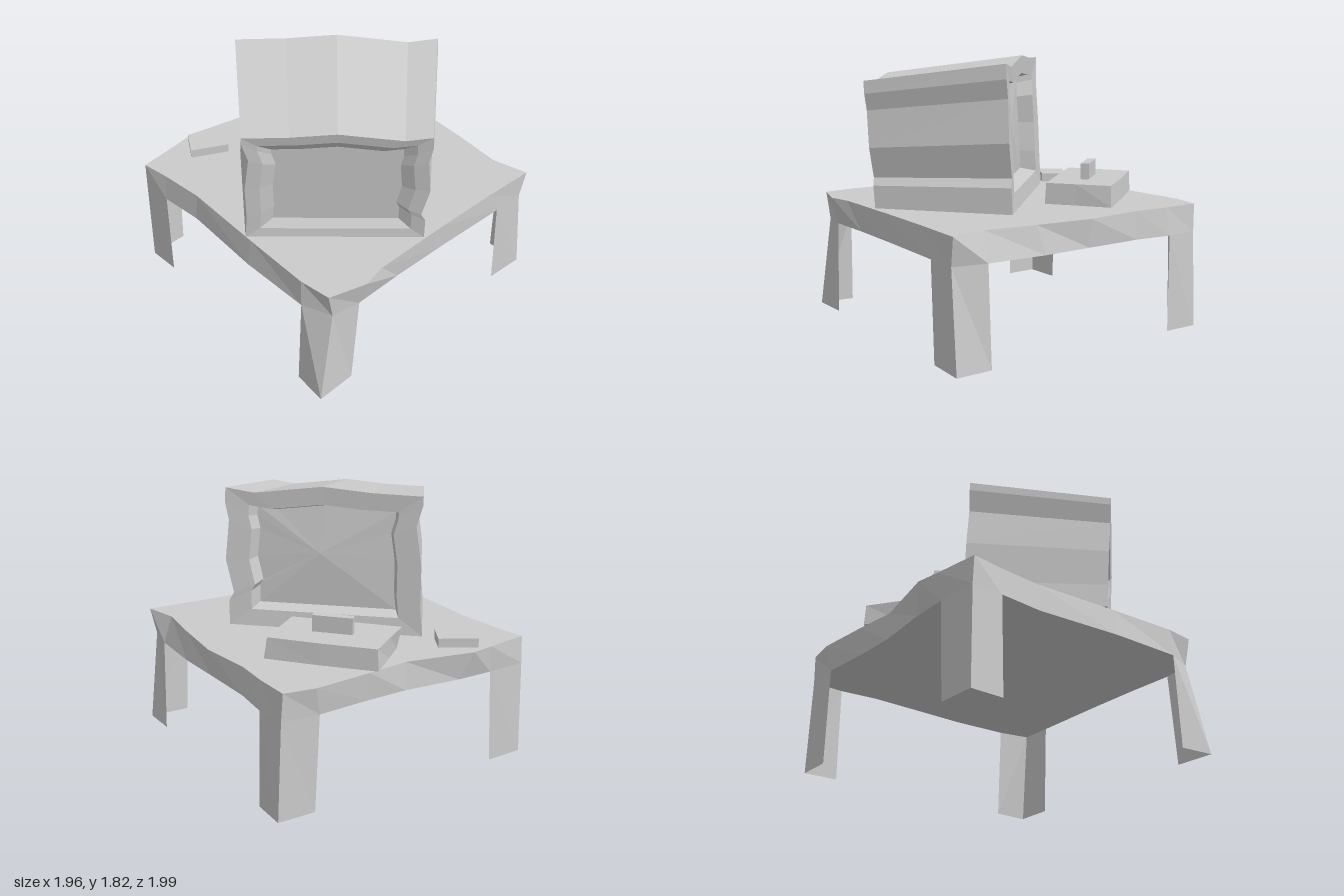
import * as THREE from 'three';

const material = new THREE.MeshStandardMaterial({ color: 0xcccccc, flatShading: true, side: THREE.DoubleSide });

function makeMesh(name, triangles) {
  const geometry = new THREE.BufferGeometry().setFromPoints(triangles);
  geometry.computeVertexNormals();
  const mesh = new THREE.Mesh(geometry, material);
  mesh.name = name;
  return mesh;
}

// Quads between consecutive rings of points
function loft(rings, closed = true) {
  const out = [];
  for (let r = 0; r + 1 < rings.length; r++) {
    const a = rings[r], b = rings[r + 1], n = a.length;
    for (let i = 0; i < (closed ? n : n - 1); i++) {
      const j = (i + 1) % n;
      out.push(a[i], b[i], b[j], a[i], b[j], a[j]);
    }
  }
  return out;
}

// Fan from a centre point
function cap(ring, centre, flip = false) {
  const out = [];
  ring.forEach((p, i) => {
    const q = ring[(i + 1) % ring.length];
    out.push(centre, flip ? q : p, flip ? p : q);
  });
  return out;
}

function centroid(ring) {
  return ring.reduce((sum, p) => sum.add(p), new THREE.Vector3()).divideScalar(ring.length);
}

const level = (points, y) => points.map(([x, z]) => new THREE.Vector3(x, y, z));

// Slab from bottom and top outlines
function slab(name, bottom, top, y0, y1) {
  const low = level(bottom, y0), high = level(top, y1);
  return makeMesh(name, [...loft([high, low]), ...cap(high, centroid(high)), ...cap(low, centroid(low), true)]);
}

// Uneven tabletop with four open, L-shaped corner legs
function createTable() {
  const table = new THREE.Group();
  table.name = 'table';
  // top x, top z, lower x, lower z
  const outline = [
    [-0.92, 0.7, -0.93, 0.71], [-0.89, 0.92, -0.85, 0.91], [-0.64, 0.99, -0.65, 0.94],
    [-0.47, 0.95, -0.3, 0.93], [0.1, 0.94, 0.1, 0.93],
    [0.55, 0.94, 0.67, 0.94], [0.95, 0.95, 0.91, 0.94], [0.89, 0.7, 0.95, 0.71],
    [0.93, 0.35, 0.96, 0.3], [0.96, -0.05, 0.94, -0.05], [0.91, -0.45, 0.92, -0.45],
    [0.92, -0.7, 0.94, -0.72], [0.91, -0.96, 0.92, -0.95], [0.7, -0.99, 0.66, -0.96],
    [0.3, -0.95, 0.3, -0.93], [0, -0.91, 0, -0.92], [-0.48, -1, -0.4, -0.95],
    [-0.64, -0.97, -0.66, -0.95], [-0.95, -0.92, -0.95, -0.93], [-0.92, -0.72, -0.94, -0.71],
    [-0.89, -0.4, -0.91, -0.4], [-0.91, 0.2, -0.94, 0.2],
  ];
  const lower = outline.map((p) => [p[2], p[3]]);
  table.add(slab('tabletop', lower, outline, 0.65, 0.838));

  const legs = [
    ['frontRightLeg', 0, [[-0.96, 0.7], [-0.98, 0.94], [-0.7, 0.93]]],
    ['frontLeftLeg', 5, [[0.7, 0.94], [0.98, 0.95], [0.97, 0.7]]],
    ['backLeftLeg', 11, [[0.95, -0.71], [0.95, -0.95], [0.69, -0.95]]],
    ['backRightLeg', 17, [[-0.69, -0.95], [-0.96, -0.94], [-0.95, -0.71]]],
  ];
  for (const [name, start, foot] of legs) {
    table.add(makeMesh(name, loft([level(lower.slice(start, start + 3), 0.65), level(foot, 0)], false)));
  }
  return table;
}

// Boxy tube television standing diagonally on the table
function createTelevision() {
  const television = new THREE.Group();
  television.name = 'television';
  // Wavy cross-section: half-width share, height share
  const profile = [
    [-1.03, 0], [-0.5, 0], [0, 0], [0.5, 0], [0.97, 0],
    [0.97, 0.18], [0.92, 0.24], [1.0, 0.48], [0.96, 0.77], [1.0, 0.9], [0.99, 1.0],
    [0.7, 0.97], [0.35, 1.0], [0, 1.03], [-0.5, 1.0], [-1.0, 0.99],
    [-1.0, 0.93], [-0.94, 0.78], [-1.0, 0.5], [-1.0, 0.2],
  ];
  const across = new THREE.Vector3(0.73, 0, 0.68);
  const along = new THREE.Vector3(0.68, 0, -0.73);
  const at = (origin, u, y, d) => origin.clone().addScaledVector(across, u).addScaledVector(along, d).setY(y);
  const ends = {
    front: { origin: new THREE.Vector3(0.13, 0, -0.11), half: 0.67, height: 0.95, lean: -0.04 },
    back: { origin: new THREE.Vector3(-0.48, 0, 0.555), half: 0.575, height: 0.83, lean: -0.06 },
  };
  const ring = ({ origin, half, height, lean }, scale, depth) => profile.map(([s, h]) => {
    const k = 0.5 + (h - 0.5) * scale;
    return at(origin, s * half * scale, 0.845 + k * height, depth + lean * k);
  });
  const { front, back } = ends;
  const frontRim = ring(front, 1, 0.02), frontLip = ring(front, 0.76, 0.01), frontInset = ring(front, 0.71, -0.1);
  const backRim = ring(back, 1, 0), backLip = ring(back, 0.84, 0.01), backInset = ring(back, 0.7, 0.05);

  television.add(makeMesh('casing', loft([backInset, backLip, backRim, frontRim, frontLip, frontInset])));
  const screenCentre = centroid(frontInset).addScaledVector(along, 0.03);
  television.add(makeMesh('screen', cap(frontInset, screenCentre, true)));
  television.add(makeMesh('backPanel', cap(backInset, centroid(backInset))));
  return television;
}

export function createModel() {
  const model = new THREE.Group();
  model.name = 'televisionOnTable';
  model.add(createTable(), createTelevision());

  // Game console with a cartridge standing in it
  const base = [[-0.1, -0.67], [0.13, -0.38], [0.37, -0.11], [0.53, -0.24], [0.73, -0.39], [0.49, -0.68], [0.24, -0.96], [0.05, -0.8]];
  const lid = [[-0.13, -0.68], [0.11, -0.41], [0.37, -0.12], [0.53, -0.25], [0.71, -0.4], [0.49, -0.67], [0.24, -0.95], [0.05, -0.81]];
  model.add(slab('console', base, lid, 0.838, 0.98));
  const slot = [[0.19, -0.61], [0.37, -0.41], [0.41, -0.45], [0.23, -0.65]];
  model.add(slab('cartridge', slot, slot, 0.97, 1.09));

  // Small loose box at the back
  const box = [[-0.66, -0.77], [-0.42, -0.65], [-0.33, -0.81], [-0.56, -0.94]];
  model.add(slab('smallBox', box, box, 0.838, 0.9));
  return model;
}
